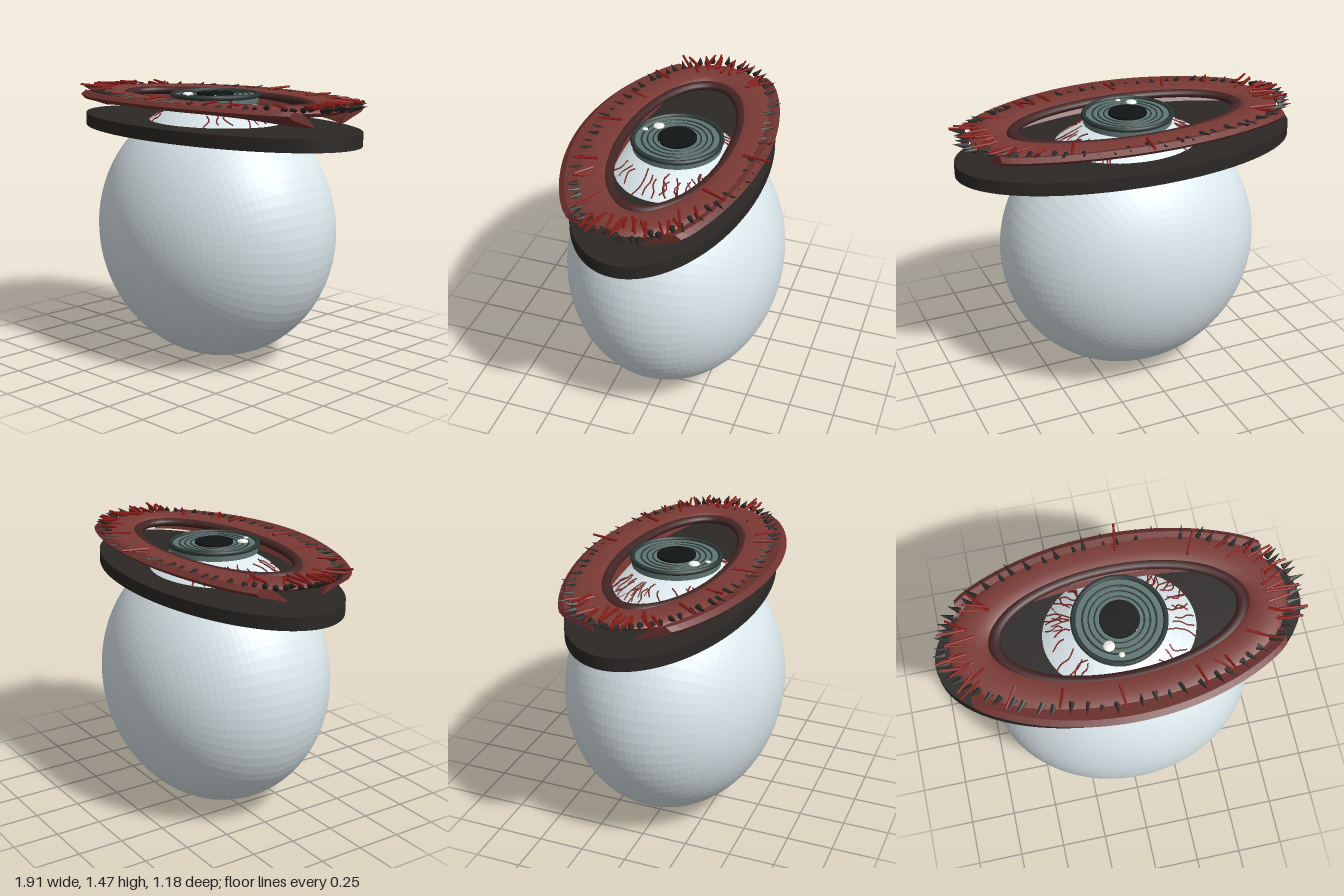
import * as THREE from 'three';

const mat = (color, extra = {}) => new THREE.MeshStandardMaterial({ color, ...extra });
const white = mat(0xdce8ec, { flatShading: true });
const dark = mat(0x2b2826), red = mat(0x7a3a35), redLid = mat(0x6e322e, { side: THREE.DoubleSide, flatShading: true });
const rimRed = mat(0x432524), bloodRed = mat(0x8a1c16), veinRed = mat(0x7a2a26);
const irisGreen = mat(0x5f7672), irisDark = mat(0x2c3836), black = mat(0x111414), shine = mat(0xf0f0ea);

const EYE = { x: 0.715, y: 0.715, z: 0.588 };
const UP = new THREE.Vector3(0, 1, 0);

function seeded(seed) {
  return () => (seed = (seed * 16807) % 2147483647) / 2147483647;
}

function add(parent, name, geometry, material, x = 0, y = 0, z = 0) {
  const mesh = new THREE.Mesh(geometry, material);
  mesh.name = name;
  mesh.position.set(x, y, z);
  parent.add(mesh);
  return mesh;
}

// flat-lying elliptical ring with an elliptical section
function ovalRing(a, b, halfWidth, halfHeight) {
  const g = new THREE.TorusGeometry(1, 0.5, 14, 80).rotateX(Math.PI / 2);
  const p = g.attributes.position;
  for (let i = 0; i < p.count; i++) {
    const x = p.getX(i), y = p.getY(i), z = p.getZ(i);
    const r = Math.hypot(x, z), out = (r - 1) * 2 * halfWidth;
    p.setXYZ(i, (x / r) * (a + out), y * 2 * halfHeight, (z / r) * (b + out));
  }
  g.computeVertexNormals();
  return g;
}

// curved eyelid: sections swept along x, inner edge lower than the outer edge
function lidGeometry(side, innerMid, outerMid) {
  const steps = 40, half = 0.79, pos = [], idx = [];
  for (let i = 0; i <= steps; i++) {
    const x = -half + (2 * half * i) / steps;
    const s = Math.max(0, 1 - (x / half) ** 2);
    const zi = 0.1 + (innerMid - 0.1) * s ** 0.6;
    const zo = 0.29 + (outerMid - 0.29) * s ** 0.85;
    const yi = 1.345 + 0.04 * s, yo = 1.4 + 0.015 * s;
    const section = [[zi, yi], [zi + 0.02, yi + 0.025], [(zi + zo) / 2, yo + 0.025], [zo - 0.03, yo + 0.04], [zo, yo + 0.02], [zo - 0.02, yo]];
    for (const [z, y] of section) pos.push(x, y, side * z);
  }
  for (let i = 0; i < steps; i++) {
    for (let j = 0; j < 6; j++) {
      const a = i * 6 + j, b = i * 6 + ((j + 1) % 6);
      idx.push(a, b, a + 6, b, b + 6, a + 6);
    }
  }
  for (const o of [0, steps * 6]) for (let j = 1; j < 5; j++) idx.push(o, o + j, o + j + 1);
  const g = new THREE.BufferGeometry();
  g.setAttribute('position', new THREE.Float32BufferAttribute(pos, 3));
  g.setIndex(idx);
  g.computeVertexNormals();
  return g;
}

// point on the upper eyeball surface
function onEye(angle, radius) {
  const x = Math.cos(angle) * radius, z = Math.sin(angle) * radius;
  const h = Math.sqrt(Math.max(0, 1 - (x / EYE.x) ** 2 - (z / EYE.z) ** 2));
  return new THREE.Vector3(x, EYE.y + EYE.y * h + 0.002, z);
}

export function createModel() {
  const model = new THREE.Group();
  model.name = 'eye';
  const rand = seeded(4711);

  // eyeball and backing plate
  const ball = add(model, 'eyeball', new THREE.SphereGeometry(1, 72, 54).rotateX(Math.PI / 2), white, 0, EYE.y, 0);
  ball.scale.set(EYE.x, EYE.y, EYE.z);
  const plate = add(model, 'backingPlate', new THREE.CylinderGeometry(1, 1, 0.07, 80), dark, 0, 1.275, 0);
  plate.scale.set(0.945, 1, 0.47);

  // lids and socket rings
  add(model, 'upperLid', lidGeometry(-1, 0.24, 0.485), redLid);
  add(model, 'lowerLid', lidGeometry(1, 0.265, 0.535), redLid);
  add(model, 'socketRing', ovalRing(0.76, 0.37, 0.1, 0.028), red, 0, 1.425, 0);
  add(model, 'innerRim', ovalRing(0.63, 0.295, 0.03, 0.022), rimRed, 0, 1.425, 0);

  // iris: stepped disc with dark rings, pupil and highlights
  const iris = new THREE.Group();
  iris.name = 'iris';
  iris.position.y = 1.44;
  model.add(iris);
  add(iris, 'irisDisc', new THREE.CylinderGeometry(0.235, 0.235, 0.04, 64), irisGreen, 0, -0.01, 0);
  for (const [r, t] of [[0.232, 0.013], [0.185, 0.005], [0.155, 0.004], [0.125, 0.004]]) {
    add(iris, 'irisRing', new THREE.TorusGeometry(r, t, 8, 64).rotateX(Math.PI / 2), irisDark, 0, 0.01, 0);
  }
  add(iris, 'pupil', new THREE.CylinderGeometry(0.102, 0.102, 0.03, 48), black, 0, 0.007, 0);
  for (const [x, z, r] of [[-0.08, 0.13, 0.03], [-0.027, 0.187, 0.015], [0.066, 0.067, 0.01]]) {
    add(iris, 'highlight', new THREE.SphereGeometry(r, 20, 14), shine, x, 0.015, z).scale.y = 0.4;
  }

  // branching veins on the eyeball, mostly towards the corners
  const veins = new THREE.Group();
  veins.name = 'veins';
  model.add(veins);
  for (let i = 0; i < 34; i++) {
    const a = (i % 2) * Math.PI + (rand() - 0.5) * 1.9;
    const r0 = 0.24 + rand() * 0.06, r1 = r0 + 0.06 + rand() * 0.1;
    const pts = [0, 1, 2, 3].map(k => onEye(a + (rand() - 0.5) * 0.14, r0 + ((r1 - r0) * k) / 3));
    add(veins, 'vein', new THREE.TubeGeometry(new THREE.CatmullRomCurve3(pts), 9, 0.004, 5), veinRed);
    if (i % 3 === 0) {
      const tip = onEye(a + (rand() - 0.5) * 0.5, r1);
      add(veins, 'veinBranch', new THREE.TubeGeometry(new THREE.LineCurve3(pts[1], tip), 4, 0.003, 5), veinRed);
    }
  }

  // spiky lashes and raw red bristles around the rim
  const lashes = new THREE.Group();
  lashes.name = 'lashes';
  model.add(lashes);
  const place = (mesh, a, lift, skew) => {
    const dir = new THREE.Vector3(Math.cos(a + skew), lift, Math.sin(a + skew)).normalize();
    mesh.quaternion.setFromUnitVectors(UP, dir);
  };
  const lash = new THREE.ConeGeometry(0.017, 0.075, 6);
  for (let i = 0; i < 68; i++) {
    const a = (i / 68) * Math.PI * 2 + (rand() - 0.5) * 0.04;
    const k = 0.97 + rand() * 0.05;
    const m = add(lashes, 'lash', lash, dark, Math.cos(a) * 0.925 * k, 1.44 + rand() * 0.012, Math.sin(a) * 0.45 * k);
    m.scale.y = 0.8 + rand() * 0.3;
    place(m, a, 0.1 + rand() * 0.2, (rand() - 0.5) * 0.3);
  }
  const bristle = new THREE.CylinderGeometry(0.006, 0.008, 0.13, 6);
  for (let i = 0; i < 46; i++) {
    const ends = i < 30;
    const a = ends ? (i % 2) * Math.PI + (rand() - 0.5) * 1.3 : rand() * Math.PI * 2;
    const k = 0.92 + rand() * 0.14;
    const m = add(lashes, 'bristle', bristle, bloodRed, Math.cos(a) * 0.85 * k, 1.45 + rand() * 0.012, Math.sin(a) * 0.42 * k);
    m.scale.y = 0.6 + rand() * 0.6;
    place(m, a, (rand() - 0.3) * 0.2, (rand() - 0.5) * 0.7);
  }
  return model;
}
